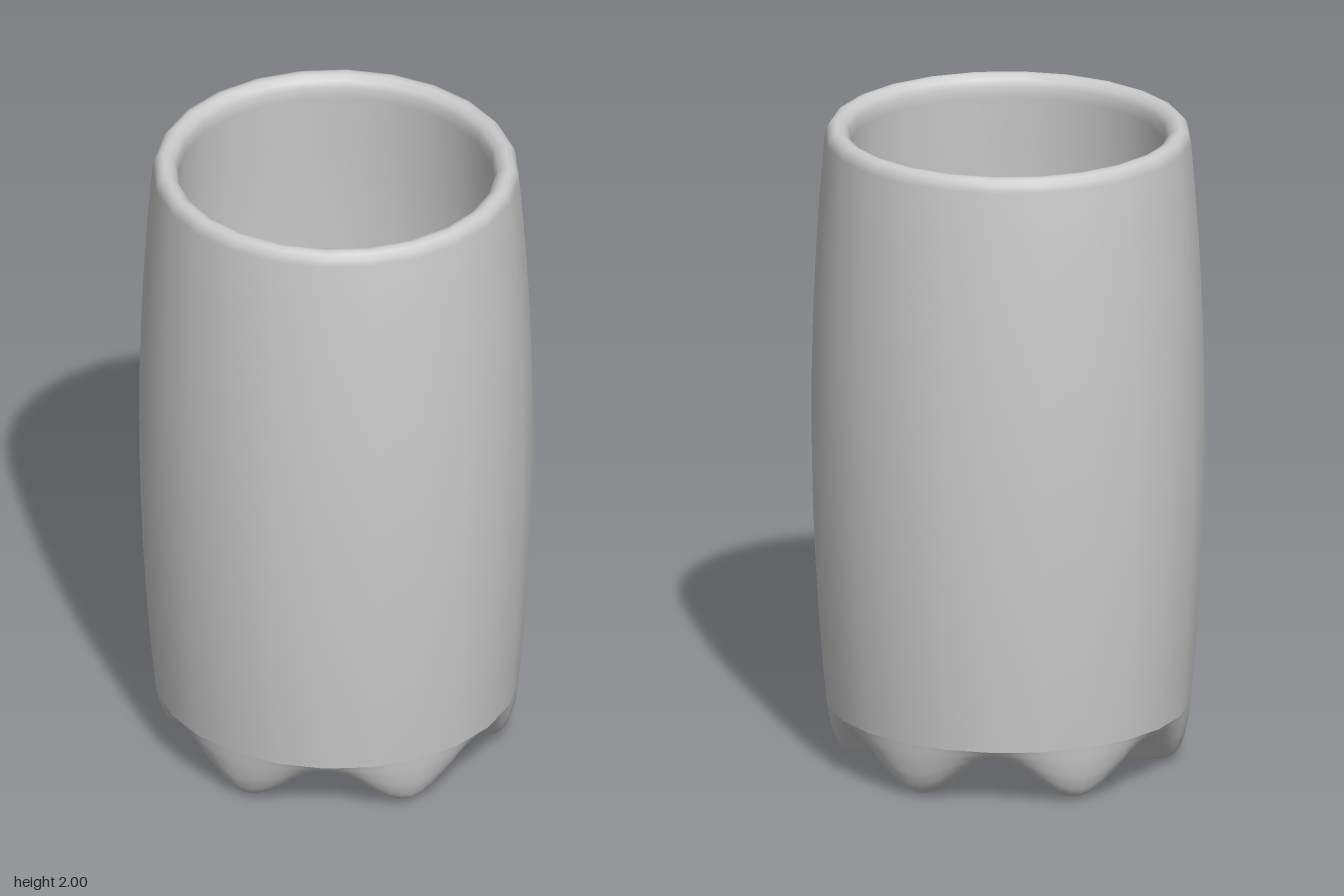
import * as THREE from 'three';
import { ParametricGeometry } from 'three/addons/geometries/ParametricGeometry.js';

const SIDES = 24;
const STEP = (Math.PI * 2) / SIDES;
const V = (x, y) => new THREE.Vector3(x, y, 0);

export function createModel() {
  const group = new THREE.Group();
  const material = new THREE.MeshStandardMaterial({ color: 0xcccccc });
  const add = (name, geometry) => {
    const mesh = new THREE.Mesh(geometry, material);
    mesh.name = name;
    group.add(mesh);
    return mesh;
  };

  // Barrel-shaped wall: up the outside, over the rounded rim, down the inside
  const bulge = (y, ends, extra) => ends + extra * (1 - ((y - 1.08) / 0.9) ** 2);
  const profile = [];
  for (let i = 0; i <= 12; i++) {
    const y = 0.18 + (i / 12) * 1.78;
    profile.push(new THREE.Vector2(bulge(y, 0.555, 0.043), y));
  }
  [[0.551, 1.98], [0.54, 1.995], [0.525, 2], [0.51, 1.998], [0.493, 1.985], [0.483, 1.965]]
    .forEach(([r, y]) => profile.push(new THREE.Vector2(r, y)));
  for (let i = 0; i <= 10; i++) {
    const y = 1.93 - (i / 10) * 1.68;
    profile.push(new THREE.Vector2(bulge(y, 0.478, 0.04), y));
  }
  add('wall', new THREE.LatheGeometry(profile, SIDES));

  // Inside floor
  const floor = new THREE.CircleGeometry(0.49, SIDES);
  floor.rotateX(-Math.PI / 2).translate(0, 0.25, 0);
  add('insideFloor', floor);

  // Base: blends a foot profile and a valley profile six times around
  const foot = new THREE.CatmullRomCurve3([
    V(0.555, 0.18), V(0.547, 0.12), V(0.532, 0.06), V(0.51, 0.02), V(0.475, 0.002), V(0.42, 0),
    V(0.35, 0), V(0.3, 0.02), V(0.25, 0.07), V(0.19, 0.12), V(0.11, 0.135), V(0.001, 0.135)]);
  const valley = new THREE.CatmullRomCurve3([
    V(0.555, 0.18), V(0.541, 0.163), V(0.522, 0.148), V(0.5, 0.139), V(0.465, 0.134), V(0.41, 0.132),
    V(0.35, 0.132), V(0.3, 0.132), V(0.25, 0.133), V(0.19, 0.134), V(0.11, 0.135), V(0.001, 0.135)]);
  const base = new ParametricGeometry((u, v, target) => {
    const angle = u * Math.PI * 2;
    const p = valley.getPoint(v).lerp(foot.getPoint(v), 0.5 + 0.5 * Math.cos(6 * angle));
    target.set(-p.x * Math.sin(angle), Math.max(p.y, 0), p.x * Math.cos(angle));
  }, SIDES * 4, 33);

  // Pull the base onto the sides of the wall's polygon so the two meet
  const pos = base.attributes.position;
  for (let i = 0; i < pos.count; i++) {
    const angle = Math.atan2(pos.getX(i), pos.getZ(i)) + Math.PI * 2;
    const k = Math.cos(STEP / 2) / Math.cos((angle % STEP) - STEP / 2);
    pos.setXYZ(i, pos.getX(i) * k, pos.getY(i), pos.getZ(i) * k);
  }
  add('footedBase', base);

  // Slightly narrower front to back
  group.scale.z = 0.99;
  return group;
}
